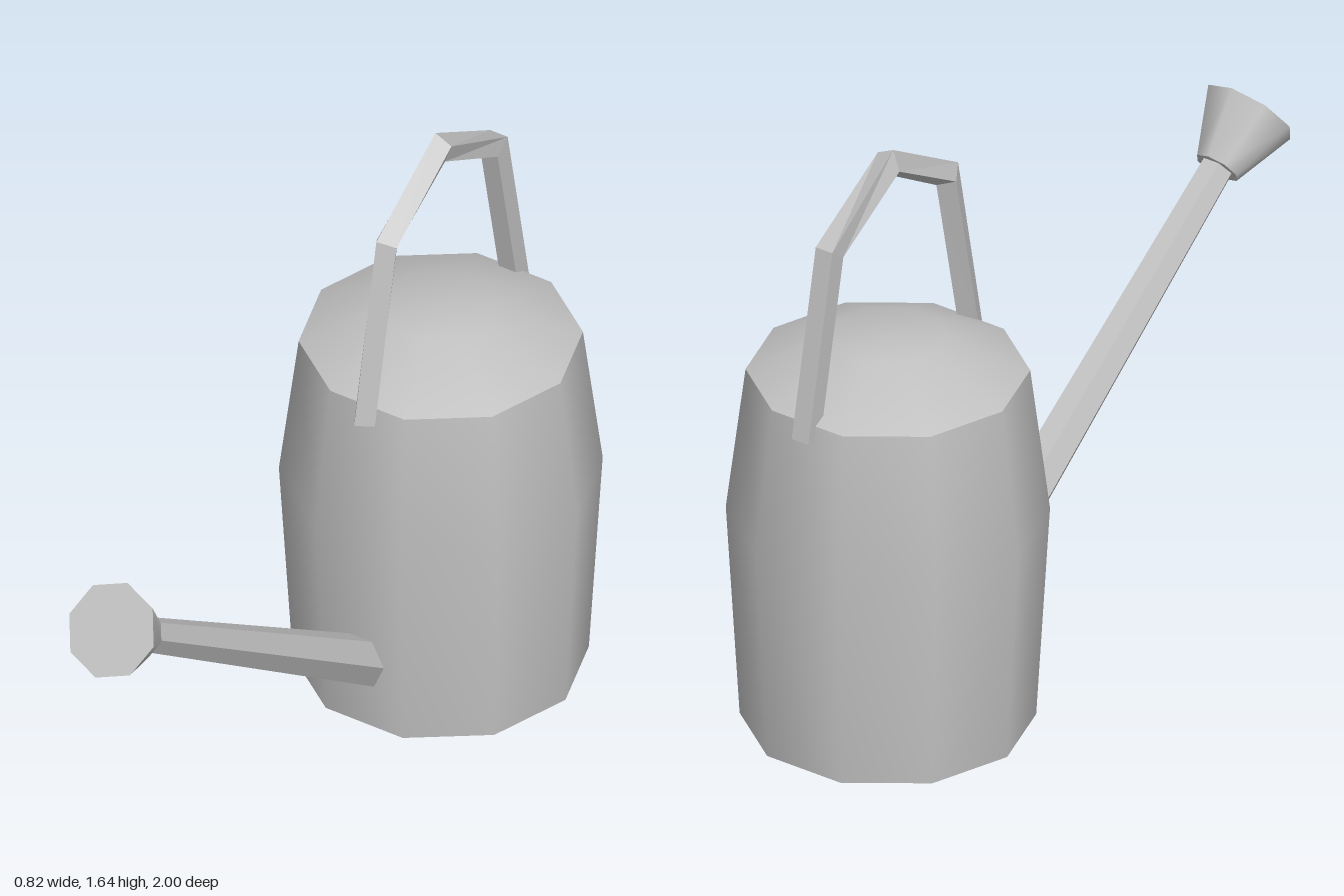
import * as THREE from 'three';

export function createModel() {
  const model = new THREE.Group();
  model.name = 'wateringCan';
  const metal = new THREE.MeshStandardMaterial({ color: 0xc0c0c0 });
  metal.name = 'grey metal';

  const add = (name, geometry) => {
    const mesh = new THREE.Mesh(geometry, metal);
    mesh.name = name;
    model.add(mesh);
    return mesh;
  };
  const flat = (geometry) => {
    const g = geometry.toNonIndexed();
    g.computeVertexNormals();
    return g;
  };

  // Ten-sided body: wall, lid and base are separate so their rims stay sharp
  const lathe = (name, points) => {
    const profile = points.map(([r, y]) => new THREE.Vector2(r, y));
    add(name, new THREE.LatheGeometry(profile, 10, Math.PI / 2)).position.z = -0.61;
  };
  lathe('bodyWall', [[0.375, 0], [0.41, 0.6], [0.36, 1]]);
  lathe('lid', [[0.36, 1], [0.15, 1.1], [0, 1.1]]);
  lathe('base', [[0, 0], [0.375, 0]]);

  // Tapered part running from one [y, z] point to another
  const cone = (name, from, to, r0, r1, sides, isFlat) => {
    const dy = to[0] - from[0], dz = to[1] - from[1];
    const g = new THREE.CylinderGeometry(r1, r0, Math.hypot(dy, dz), sides, 1, false, Math.PI / 2);
    const mesh = add(name, isFlat ? flat(g) : g);
    mesh.position.set(0, (from[0] + to[0]) / 2, (from[1] + to[1]) / 2);
    mesh.rotation.x = Math.atan2(dz, dy);
  };
  cone('spout', [0.152, -0.32], [0.948, 0.787], 0.068, 0.046, 6, true);
  cone('sprinklerHead', [0.948, 0.787], [1.048, 0.925], 0.061, 0.127, 8, false);

  // Handle: square bar, mitred at the bends and slightly twisted: [y, z, twist in degrees]
  const path = [
    [0.96, -0.257, 15], [1.455, -0.358, 17], [1.603, -0.607, 23],
    [1.455, -0.858, 45], [0.96, -0.957, 45],
  ];
  const radius = 0.037;
  const normalOf = (a, b) => new THREE.Vector2(-(b[1] - a[1]), b[0] - a[0]).normalize();
  const positions = [], index = [];
  path.forEach((p, i) => {
    const before = i > 0 ? normalOf(path[i - 1], p) : null;
    const after = i < path.length - 1 ? normalOf(p, path[i + 1]) : null;
    // ends are cut level; inner sections lie on the bisector of the bend
    let out = new THREE.Vector2(0, i === 0 ? 1 : -1);
    if (before && after) {
      out = before.clone().add(after).normalize();
      out.divideScalar(out.dot(before));
    }
    for (let k = 0; k < 4; k++) {
      const a = THREE.MathUtils.degToRad(p[2] + 90 * k);
      const h = radius * Math.sin(a);
      positions.push(radius * Math.cos(a), p[0] + out.x * h, p[1] + out.y * h);
    }
  });
  for (let i = 0; i < path.length - 1; i++) {
    for (let k = 0; k < 4; k++) {
      const a = i * 4 + k, b = i * 4 + (k + 1) % 4;
      index.push(a, b, b + 4, a, b + 4, a + 4);
    }
  }
  const e = (path.length - 1) * 4;
  index.push(0, 2, 1, 0, 3, 2, e, e + 1, e + 2, e, e + 2, e + 3);
  // The section runs from x towards out; flip faces if that winds inwards
  const corner = (n) => new THREE.Vector3().fromArray(positions, n * 3);
  const facing = corner(1).sub(corner(0)).cross(corner(5).sub(corner(0)));
  const outward = corner(0).add(corner(1)).multiplyScalar(0.5)
    .sub(new THREE.Vector3(0, path[0][0], path[0][1]));
  if (facing.dot(outward) < 0) index.reverse();
  const bar = new THREE.BufferGeometry();
  bar.setAttribute('position', new THREE.Float32BufferAttribute(positions, 3));
  bar.setIndex(index);
  add('handle', flat(bar));

  return model;
}
